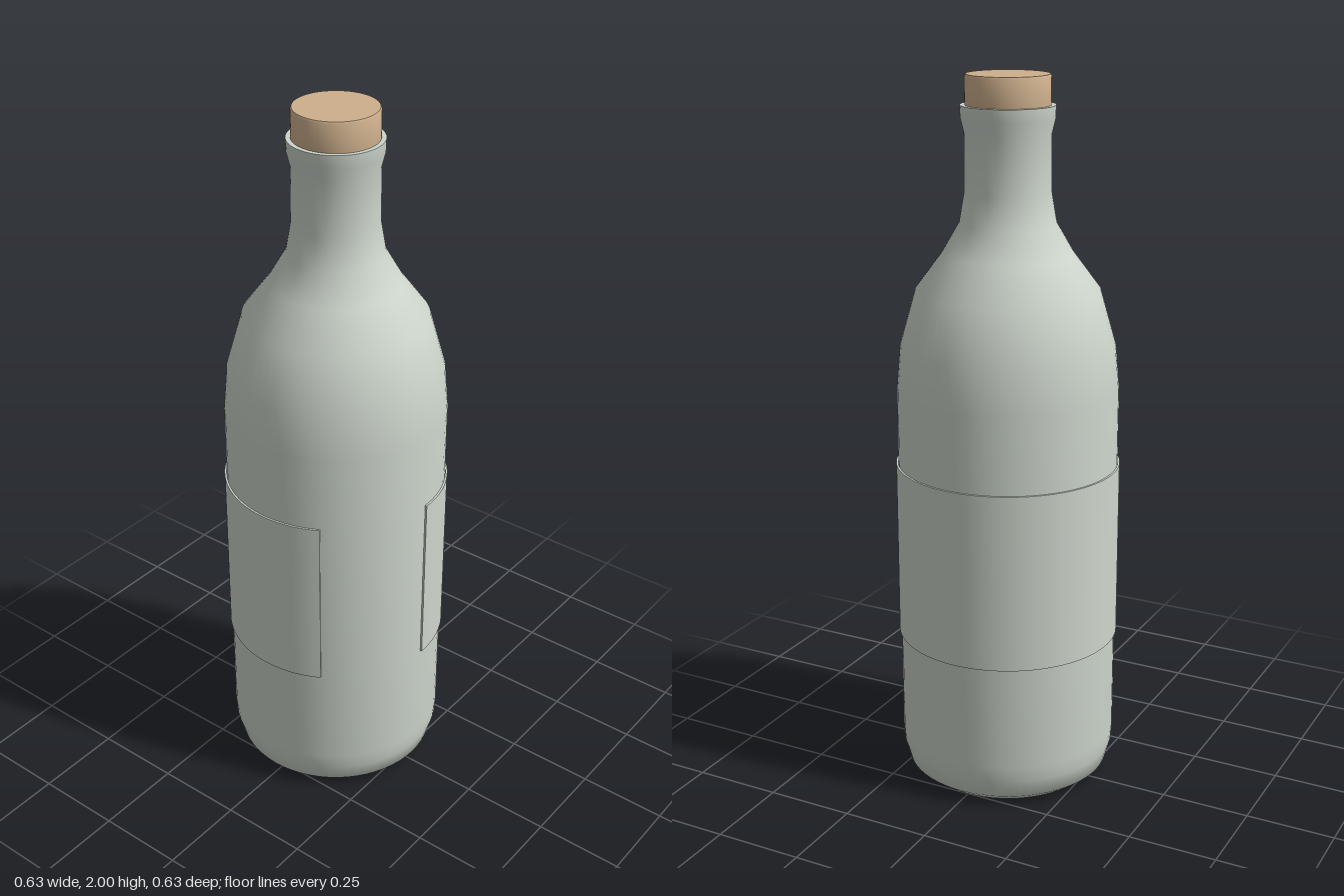
import * as THREE from 'three';
import { toCreasedNormals } from 'three/addons/utils/BufferGeometryUtils.js';

const SEGMENTS = 64;

// Turn a list of [radius, height] pairs into a solid of revolution.
function turned(profile, crease) {
  const points = profile.map(([r, y]) => new THREE.Vector2(r, y));
  return toCreasedNormals(new THREE.LatheGeometry(points, SEGMENTS), crease);
}

export function createModel() {
  const glass = new THREE.MeshStandardMaterial({ name: 'pale grey glass', color: 0xcdd5cc });
  const paper = new THREE.MeshStandardMaterial({ name: 'pale grey paper', color: 0xcfd6cd });
  const corkwood = new THREE.MeshStandardMaterial({ name: 'tan cork', color: 0xcdaf8c });

  const group = new THREE.Group();
  group.name = 'bottle';
  const add = (name, geometry, material) => {
    const mesh = new THREE.Mesh(geometry, material);
    mesh.name = name;
    group.add(mesh);
    return mesh;
  };

  // Body: rounded foot, straight wall, sloping shoulder, neck and flared lip
  add('bottleBody', turned([
    [0, 0], [0.255, 0.003], [0.29, 0.03], [0.305, 0.085], [0.308, 0.13],
    [0.308, 1.15], [0.297, 1.273], [0.253, 1.427], [0.18, 1.525],
    [0.132, 1.608], [0.118, 1.69], [0.117, 1.845], [0.127, 1.885],
    [0.128, 1.92], [0.114, 1.92], [0.112, 1.88],
  ], 0.85), glass);

  // Stopper: sits in the neck and stands above the lip
  add('cork', turned([
    [0, 1.85], [0.111, 1.85], [0.115, 1.92], [0.115, 1.995], [0.112, 2], [0, 2],
  ], 0.9), corkwood);

  // Wraparound label: a thin band with a 60 degree gap at the front left
  const sweep = Math.PI * 5 / 3;
  const band = new THREE.Shape();
  band.absarc(0, 0, 0.314, 0, sweep, false);
  band.absarc(0, 0, 0.3085, sweep, 0, true);
  const labelGeometry = new THREE.ExtrudeGeometry(band, {
    depth: 0.505, bevelEnabled: false, curveSegments: 54,
  });
  labelGeometry.rotateX(-Math.PI / 2);
  const label = add('label', toCreasedNormals(labelGeometry, 0.5), paper);
  label.position.y = 0.43;

  return group;
}
